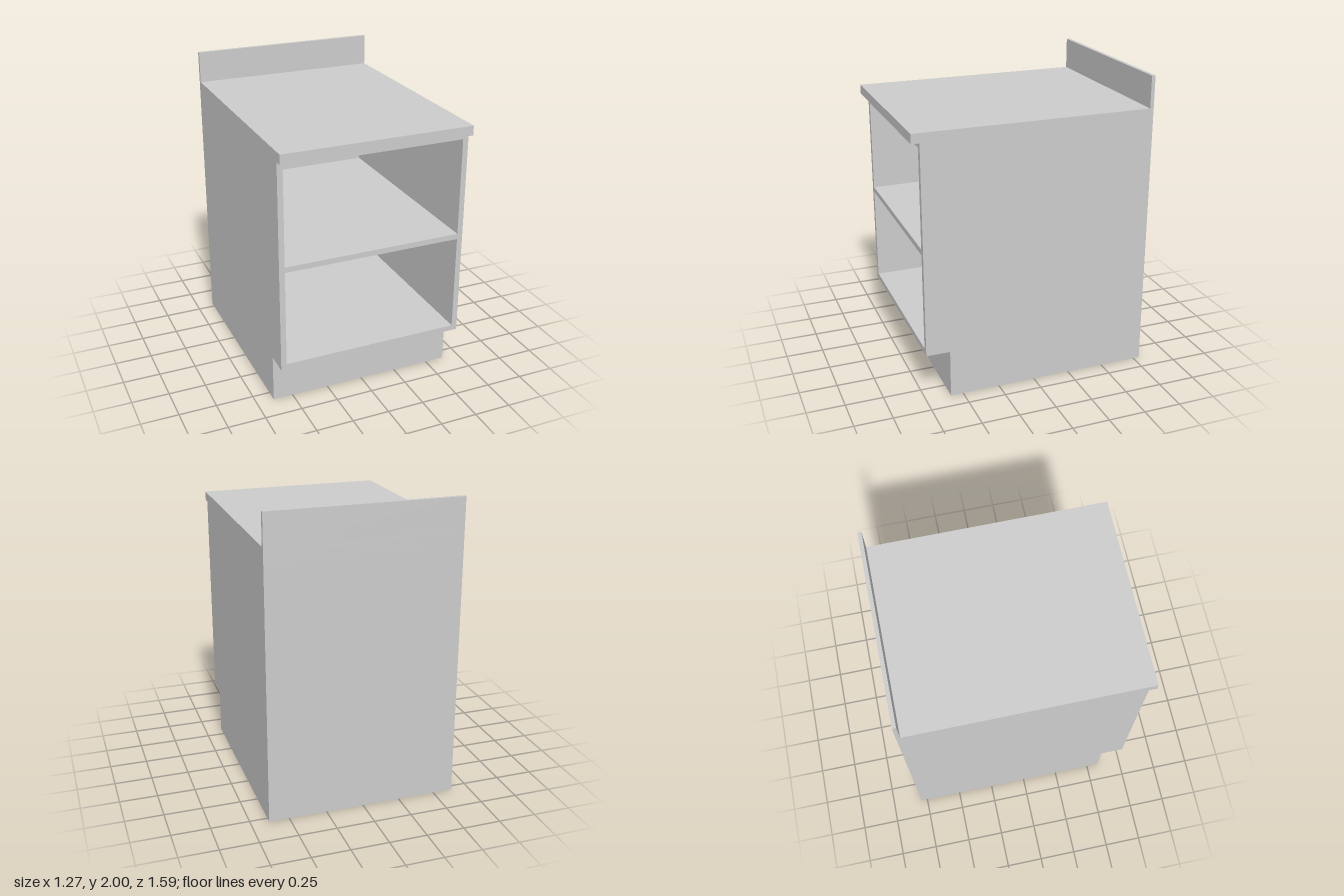
import * as THREE from 'three';

const W = 1.266;      // overall width
const BACK = -0.793;  // rear plane
const T = 0.037;      // panel thickness

export function createModel() {
  const group = new THREE.Group();
  group.name = 'baseCabinet';
  const material = new THREE.MeshStandardMaterial({ color: 0xcccccc });

  // Box panel given by its extents on each axis
  function panel(name, [x0, x1], [y0, y1], [z0, z1]) {
    const mesh = new THREE.Mesh(new THREE.BoxGeometry(x1 - x0, y1 - y0, z1 - z0), material);
    mesh.position.set((x0 + x1) / 2, (y0 + y1) / 2, (z0 + z1) / 2);
    mesh.name = name;
    group.add(mesh);
  }

  const h = W / 2, inner = h - T;
  const y0 = 0.322, y1 = 1.727, front = 0.741;

  // Recessed plinth
  panel('plinth', [-h, h], [0, y0], [BACK, 0.583]);

  // Open-fronted carcass
  panel('rightSide', [-h, -inner], [y0, y1], [BACK, front]);
  panel('leftSide', [inner, h], [y0, y1], [BACK, front]);
  panel('bottomPanel', [-inner, inner], [y0, y0 + T], [BACK, front]);
  panel('topPanel', [-inner, inner], [y1 - T, y1], [BACK, front]);
  panel('backPanel', [-inner, inner], [y0 + T, y1 - T], [BACK, BACK + T]);
  panel('shelf', [-inner, inner], [1.006, 1.043], [BACK + T, front]);

  // Overhanging worktop with a thin upstand at the rear
  panel('worktop', [-h, h], [y1, 1.79], [BACK, -BACK]);
  panel('backsplash', [-h, h], [1.79, 2], [BACK, BACK + 0.025]);

  return group;
}
